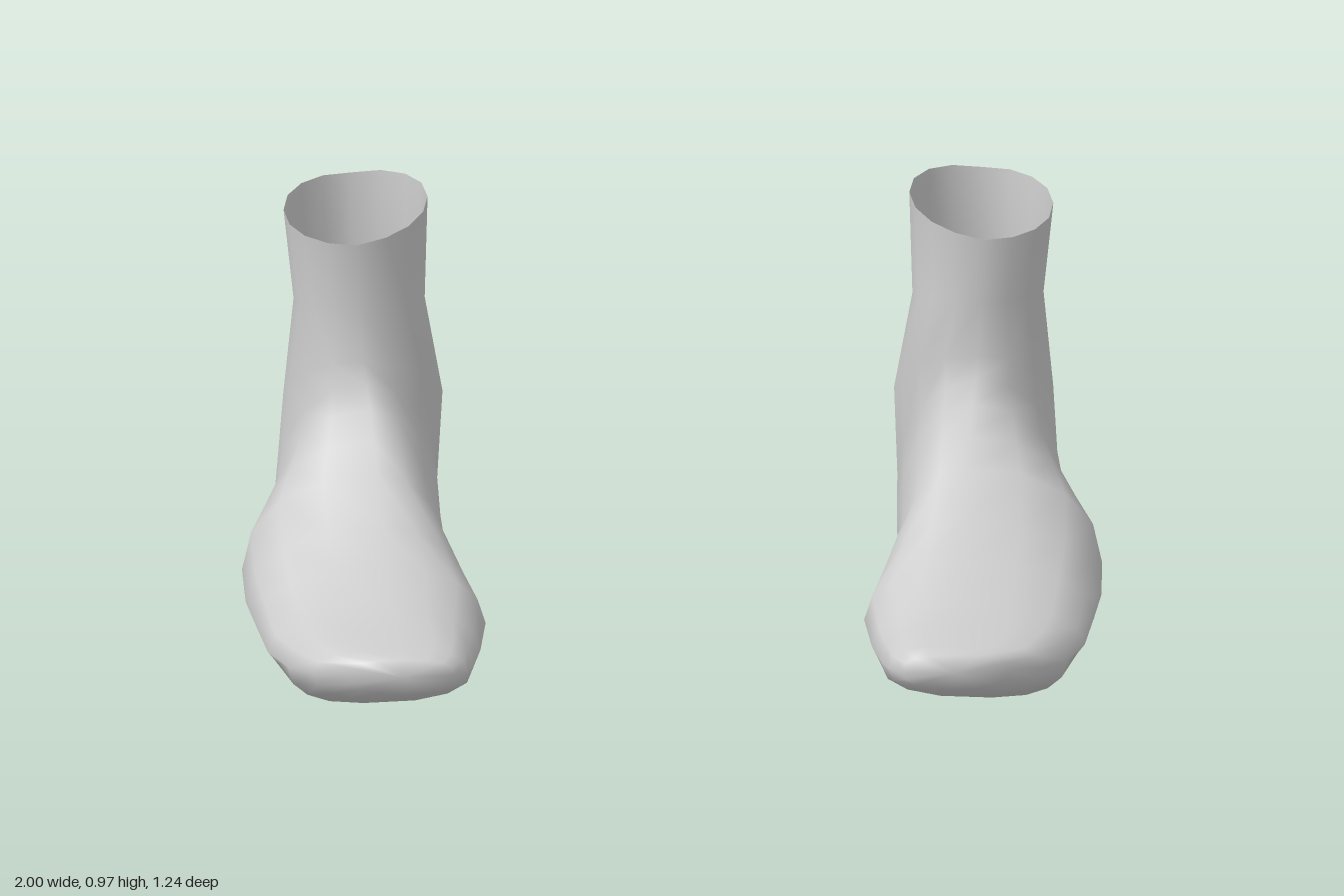
import * as THREE from 'three';

// Cross-sections of the left foot from toe tip, round the heel, up to the open ankle:
// [top z, top y, sole z, sole y, inner x, outer x]
const SECTIONS = [
  [0.61, 0.165, 0.61, 0.08, 0.52, 0.77],
  [0.55, 0.17, 0.55, 0.045, 0.49, 0.85],
  [0.47, 0.19, 0.47, 0.01, 0.475, 0.905],
  [0.36, 0.205, 0.34, 0.04, 0.455, 0.95],
  [0.24, 0.265, 0.22, 0.045, 0.44, 0.975],
  [0.13, 0.32, 0.1, 0.04, 0.475, 0.995],
  [0.01, 0.41, -0.05, 0.04, 0.52, 1.0],
  [-0.05, 0.47, -0.24, 0.02, 0.528, 0.96],
  [-0.1, 0.53, -0.42, 0, 0.53, 0.925],
  [-0.125, 0.58, -0.62, 0.06, 0.535, 0.91],
  [-0.15, 0.63, -0.575, 0.33, 0.525, 0.895],
  [-0.162, 0.76, -0.52, 0.68, 0.567, 0.872],
  [-0.155, 0.915, -0.545, 0.955, 0.56, 0.895],
];
const SIDES = 16;
const LAST = SECTIONS.length - 1;
const { lerp } = THREE.MathUtils;

// One point of a section; the angle runs from sole to outer side to top to inner side.
function sectionPoint(i, angle) {
  const [topZ, topY, soleZ, soleY, inner, outer] = SECTIONS[i];
  const toes = i < 3;
  const shin = i > 9;
  const widest = toes || shin ? 0.5 : 0.33; // height of the widest line, 0 sole to 1 top
  const roundness = toes ? 0.8 : 0.95; // smaller is boxier
  const power = (v) => Math.sign(v) * Math.abs(v) ** roundness;
  const up = power(-Math.cos(angle));
  const side = power(Math.sin(angle));
  const t = up < 0 ? widest * (1 + up) : widest + (1 - widest) * up;

  // The ridge of the instep drifts from the big toe to the middle of the shin
  const ridge = lerp(0.64, 0.73, i / LAST);
  const keel = Math.min(0.735, 0.64 + 0.045 * i);
  const mid = lerp(keel, ridge, t);
  const x = lerp(mid, side > 0 ? outer : inner, Math.abs(side));
  const rimLift = i === LAST ? 0.03 * Math.max(0, -side) : 0;
  const toeSweep = i < 2 ? 0.015 * side * side : 0;
  return [x, lerp(soleY, topY, t) + rimLift, lerp(soleZ, topZ, t) - toeSweep];
}

// Smooth loft through the sections, closed at the toes and open at the ankle.
function footGeometry(mirror) {
  const positions = [];
  const indices = [];
  const face = (a, b, c) => indices.push(...(mirror < 0 ? [a, c, b] : [a, b, c]));
  for (let i = 0; i <= LAST; i++) {
    for (let j = 0; j < SIDES; j++) {
      const [x, y, z] = sectionPoint(i, (j / SIDES) * Math.PI * 2);
      positions.push(mirror * x, y, z);
    }
  }
  for (let i = 0; i < LAST; i++) {
    for (let j = 0; j < SIDES; j++) {
      const a = i * SIDES + j;
      const b = i * SIDES + ((j + 1) % SIDES);
      face(a, a + SIDES, b);
      face(b, a + SIDES, b + SIDES);
    }
  }
  // Toe cap
  const tip = positions.length / 3;
  positions.push(mirror * 0.64, 0.125, 0.62);
  for (let j = 0; j < SIDES; j++) face(tip, j, (j + 1) % SIDES);

  const geometry = new THREE.BufferGeometry();
  geometry.setAttribute('position', new THREE.Float32BufferAttribute(positions, 3));
  geometry.setIndex(indices);
  geometry.computeVertexNormals();
  return geometry;
}

export function createModel() {
  const group = new THREE.Group();
  group.name = 'pairOfFeet';
  const skin = new THREE.MeshStandardMaterial({ color: 0xcccccc, side: THREE.DoubleSide });
  skin.name = 'lightGrey';
  for (const [name, mirror] of [['leftFoot', 1], ['rightFoot', -1]]) {
    const foot = new THREE.Mesh(footGeometry(mirror), skin);
    foot.name = name;
    group.add(foot);
  }
  return group;
}
